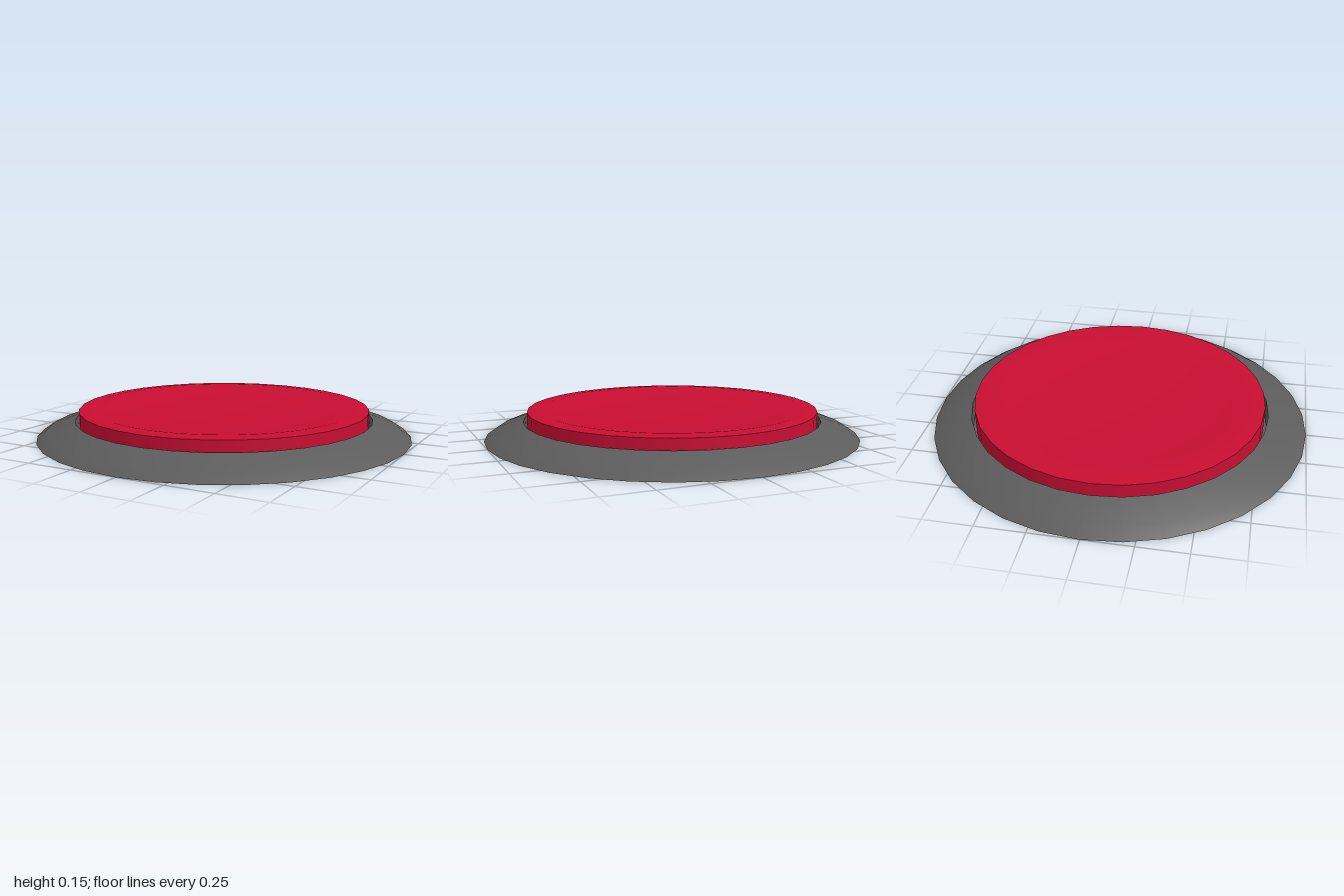
import * as THREE from 'three';
import { toCreasedNormals } from 'three/addons/utils/BufferGeometryUtils.js';

const SIDES = 32;

// Revolve a profile of [radius, height] points, keeping sharp rims creased
function turned(name, profile, color) {
  const points = profile.map(([r, y]) => new THREE.Vector2(r, y));
  const geometry = toCreasedNormals(new THREE.LatheGeometry(points, SIDES), 0.6);
  const material = new THREE.MeshStandardMaterial({ color, side: THREE.DoubleSide });
  const mesh = new THREE.Mesh(geometry, material);
  mesh.name = name;
  return mesh;
}

export function createModel() {
  const model = new THREE.Group();
  model.name = 'pushButton';

  // Sloped housing: hollow underneath, with a well and floor for the button
  model.add(turned('housing', [
    [1, 0], [0.945, 0.037], [0.795, 0.09], [0.795, 0], [0, 0],
  ], 0x5c5c5c));

  // Button cap: straight wall, softened rim and a shallow dished top
  model.add(turned('buttonCap', [
    [0.775, 0.003], [0.775, 0.143], [0.7, 0.15], [0.6, 0.135],
    [0.43, 0.122], [0.24, 0.114], [0, 0.111],
  ], 0xc80e32));

  return model;
}
